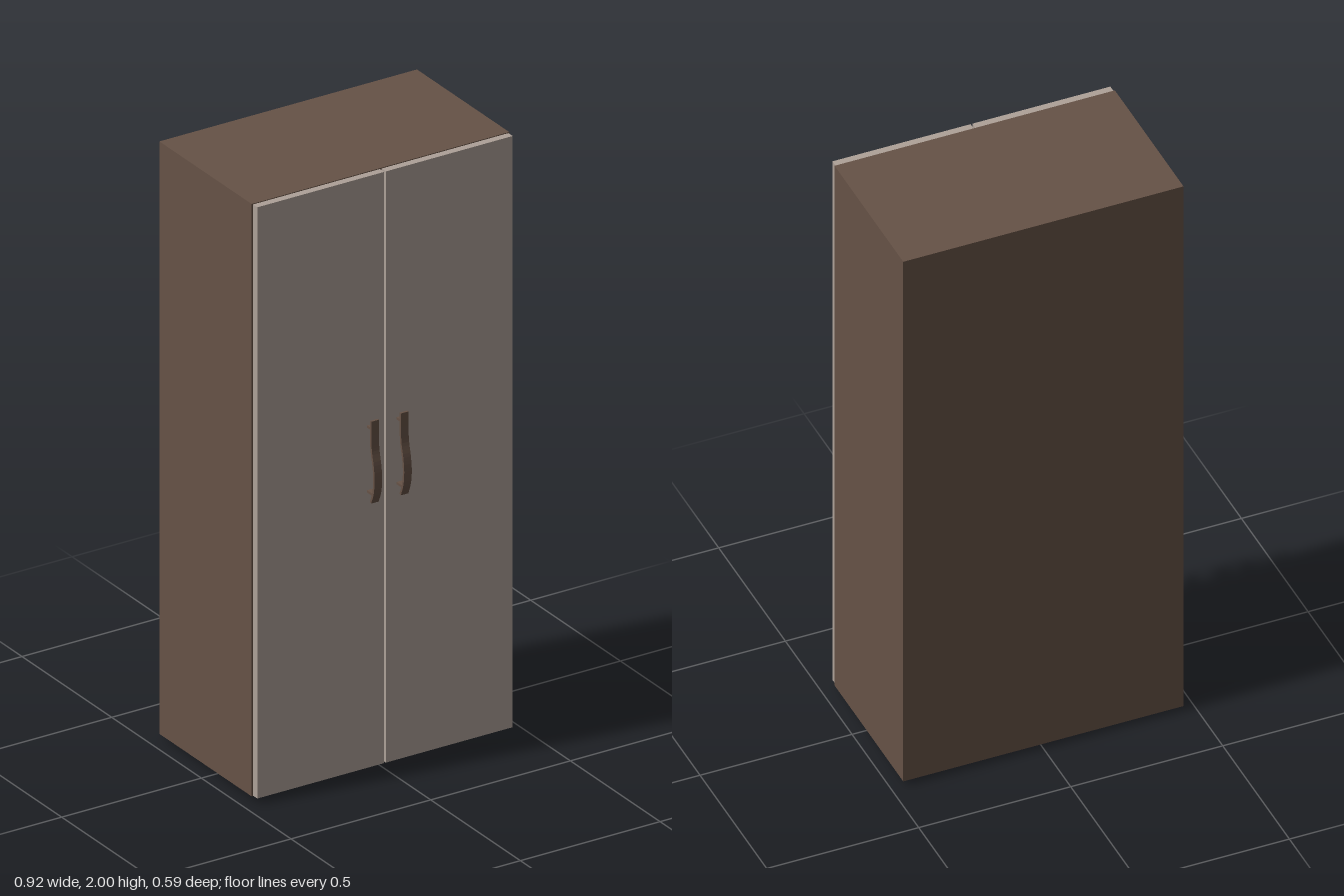
import * as THREE from 'three';

const brown = new THREE.MeshStandardMaterial({ name: 'dark wood', color: 0x665246 });
const taupe = new THREE.MeshStandardMaterial({ name: 'taupe door', color: 0xaea198 });

// Box given by its limits on each axis
function block(name, material, [x0, x1], [y0, y1], [z0, z1]) {
  const geometry = new THREE.BoxGeometry(x1 - x0, y1 - y0, z1 - z0);
  geometry.translate((x0 + x1) / 2, (y0 + y1) / 2, (z0 + z1) / 2);
  const mesh = new THREE.Mesh(geometry, material);
  mesh.name = name;
  return mesh;
}

// Thin bowed strip: a side profile (z, y) extruded across its width
function handleGrip(width) {
  const spine = new THREE.CatmullRomCurve3([
    [0.269, 1.19], [0.269, 1.13], [0.272, 1.09], [0.282, 1.045],
    [0.287, 1.0], [0.282, 0.955], [0.268, 0.917],
  ].map(([z, y]) => new THREE.Vector3(z, y, 0)));
  const front = [], back = [];
  for (let i = 0; i <= 24; i++) {
    const p = spine.getPoint(i / 24), t = spine.getTangent(i / 24);
    const n = new THREE.Vector2(-t.y, t.x).multiplyScalar(0.004);
    front.push(new THREE.Vector2(p.x + n.x, p.y + n.y));
    back.unshift(new THREE.Vector2(p.x - n.x, p.y - n.y));
  }
  const geometry = new THREE.ExtrudeGeometry(new THREE.Shape([...front, ...back]), { depth: width, bevelEnabled: false });
  geometry.translate(0, 0, -width / 2);
  geometry.rotateY(-Math.PI / 2);
  return geometry;
}

export function createModel() {
  const model = new THREE.Group();
  model.name = 'wardrobe';

  // Cabinet and the rail under its middle
  model.add(block('cabinet', brown, [-0.461, 0.461], [0.018, 2], [-0.295, 0.22]));
  model.add(block('bottomRail', brown, [-0.012, 0.012], [0.01, 0.018], [-0.26, 0.205]));

  const gripGeometry = handleGrip(0.027);
  for (const side of [1, -1]) {
    const label = side > 0 ? 'left' : 'right';
    const span = (a, b) => (side > 0 ? [a, b] : [-b, -a]);

    // Door and foot
    model.add(block(label + 'Door', taupe, span(0.003, 0.457), [0.02, 1.998], [0.221, 0.245]));
    model.add(block(label + 'Foot', brown, span(0.29, 0.395), [0, 0.018], [0.09, 0.208]));

    // Handle with its two posts
    const handle = new THREE.Group();
    handle.name = label + 'Handle';
    const grip = new THREE.Mesh(gripGeometry, brown);
    grip.name = 'grip';
    grip.position.x = side * 0.053;
    handle.add(grip);
    for (const [y, z] of [[1.162, 0.267], [0.945, 0.278]]) {
      handle.add(block('post', brown, span(0.042, 0.064), [y - 0.004, y + 0.004], [0.245, z]));
    }
    model.add(handle);
  }
  return model;
}
